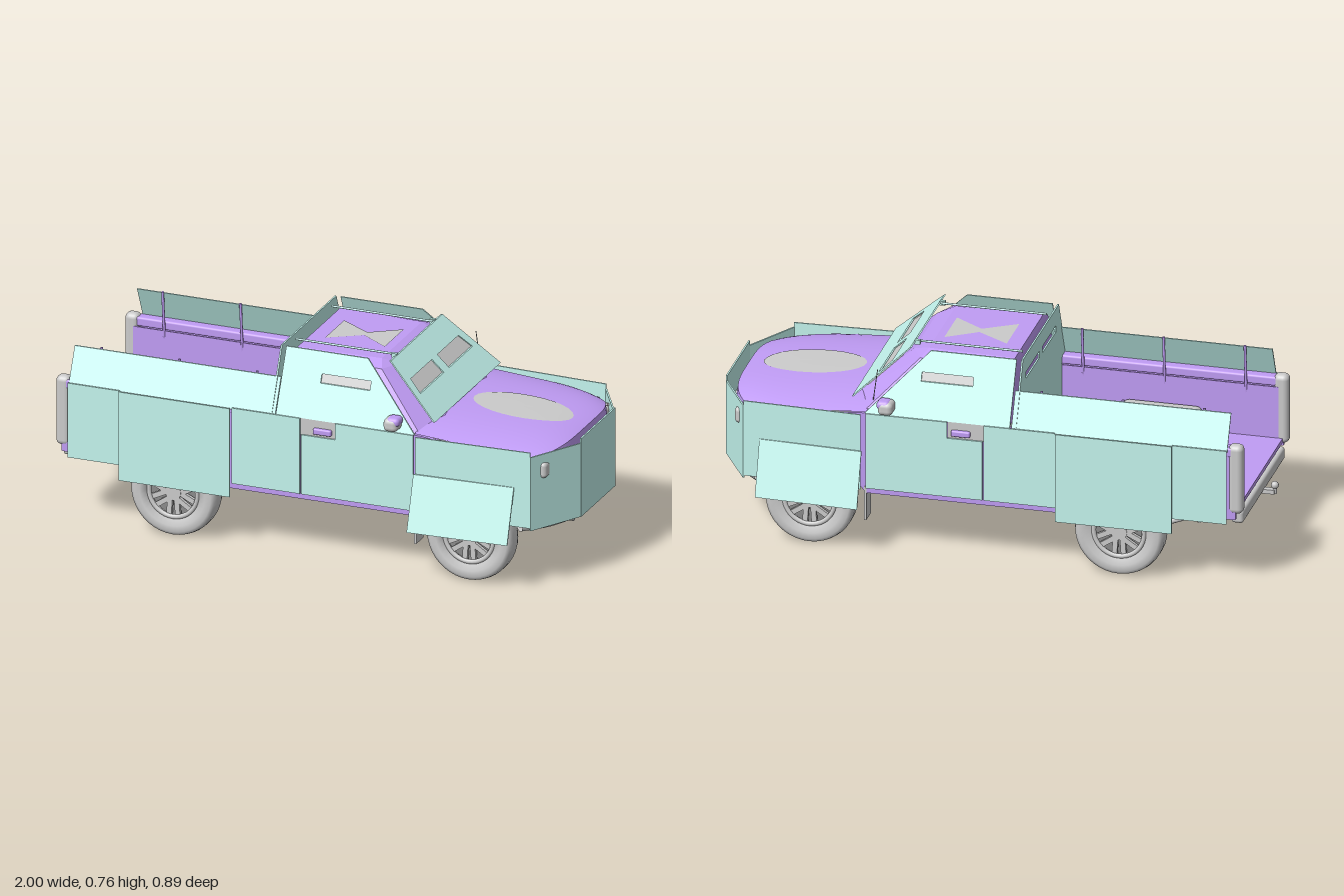
import * as THREE from 'three';
import { RoundedBoxGeometry } from 'three/addons/geometries/RoundedBoxGeometry.js';
import { ConvexGeometry } from 'three/addons/geometries/ConvexGeometry.js';
import { ParametricGeometry } from 'three/addons/geometries/ParametricGeometry.js';

const mat = (color) => new THREE.MeshStandardMaterial({ color, side: THREE.DoubleSide });
const GREY = mat(0xcccccc), TEAL = mat(0xc4f5ee), PURPLE = mat(0xc09cf5), DARK = mat(0x8a8a8a);
const V = (x, y, z) => new THREE.Vector3(x, y, z);
const SIDES = [1, -1];

export function createModel() {
  const root = new THREE.Group();
  const add = (name, geo, material, parent = root) => {
    const m = new THREE.Mesh(geo, material);
    m.name = name;
    parent.add(m);
    return m;
  };
  // box given by its limits on each axis
  const box = (name, [x0, x1], [y0, y1], [z0, z1], material, round = 0) => {
    const s = [Math.abs(x1 - x0), Math.abs(y1 - y0), Math.abs(z1 - z0)];
    const g = round ? new RoundedBoxGeometry(...s, 3, round) : new THREE.BoxGeometry(...s);
    return add(name, g.translate((x0 + x1) / 2, (y0 + y1) / 2, (z0 + z1) / 2), material);
  };
  // round bar between two points
  const bar = (name, a, b, r, material, r2 = r, n = 12) => {
    const m = add(name, new THREE.CylinderGeometry(r2, r, a.distanceTo(b), n), material);
    m.position.copy(a).lerp(b, 0.5);
    m.quaternion.setFromUnitVectors(V(0, 1, 0), b.clone().sub(a).normalize());
  };
  const tube = (name, pts, r, material) =>
    add(name, new THREE.TubeGeometry(new THREE.CatmullRomCurve3(pts), 32, r, 8), material);
  const toShape = (pts) => new THREE.Shape(pts.map(([x, y]) => new THREE.Vector2(x, y)));
  // flat plate drawn in x-y, leaned and yawed by a shear, then turned about y
  const plate = (name, pts, holes, y0, off, lean, { turn = 0, yaw = 0, material = TEAL } = {}) => {
    const shape = toShape(pts);
    shape.holes = holes.map(toShape);
    const g = new THREE.ExtrudeGeometry(shape, { depth: 0.006, bevelEnabled: false });
    const p = g.attributes.position;
    for (let i = 0; i < p.count; i++)
      p.setZ(i, p.getZ(i) - 0.003 + off + lean * (p.getY(i) - y0) + yaw * p.getX(i));
    g.computeVertexNormals();
    return add(name, g.rotateY(turn), material);
  };
  const rect = (x0, x1, y0, y1) => [[x0, y0], [x1, y0], [x1, y1], [x0, y1]];
  // upright plate between two plan points
  const strip = (name, [xa, za], [xb, zb], y0, y1) => {
    const m = add(name, new THREE.BoxGeometry(Math.hypot(xb - xa, zb - za), y1 - y0, 0.006), TEAL);
    m.position.set((xa + xb) / 2, (y0 + y1) / 2, (za + zb) / 2);
    m.rotation.y = -Math.atan2(zb - za, xb - xa);
  };

  // body sides with wheel arches
  const skin = new THREE.Shape();
  const a = Math.asin(0.075 / 0.2);
  skin.moveTo(-0.93, 0.26);
  skin.lineTo(-0.72, 0.24);
  skin.absarc(-0.5, 0.165, 0.2, Math.PI - a, a, true);
  skin.lineTo(-0.28, 0.215);
  skin.lineTo(0.43, 0.215);
  skin.absarc(0.64, 0.165, 0.2, Math.PI - a, a, true);
  [[0.86, 0.25], [0.86, 0.48], [0.45, 0.525], [-0.93, 0.53]].forEach(([x, y]) => skin.lineTo(x, y));
  for (const s of SIDES) {
    add('bodySide', new THREE.ExtrudeGeometry(skin, { depth: 0.012, bevelEnabled: false, curveSegments: 24 })
      .translate(0, 0, s * 0.34 - 0.006), PURPLE);
    box('bedRail', [-0.93, -0.11], [0.5, 0.535], [s * 0.305, s * 0.348], PURPLE, 0.008);
    box('bedInnerWall', [-0.92, -0.11], [0.3, 0.5], [s * 0.3, s * 0.306], PURPLE);
    box('bedWheelBox', [-0.645, -0.35], [0.3, 0.4], [s * 0.225, s * 0.305], GREY, 0.025);
    box('tailLight', [-0.955, -0.9], [0.28, 0.545], [s * 0.3, s * 0.35], GREY, 0.02);
    box('sill', [-0.27, 0.43], [0.215, 0.24], [s * 0.3, s * 0.345], PURPLE);
    box('innerFender', [0.44, 0.86], [0.26, 0.5], [s * 0.225, s * 0.235], GREY);
    box('mudFlap', [0.43, 0.438], [0.11, 0.24], [s * 0.28, s * 0.35], GREY);
    box('handleRecess', [-0.01, 0.13], [0.465, 0.53], [s * 0.335, s * 0.355], GREY);
    box('doorHandle', [0.045, 0.115], [0.477, 0.5], [s * 0.345, s * 0.368], PURPLE, 0.006);
    box('headlight', [0.86, 0.925], [0.42, 0.48], [s * 0.23, s * 0.32], GREY, 0.015);
    // door mirror
    box('mirror', [0.325, 0.38], [0.54, 0.59], [s * 0.33, s * 0.395], GREY, 0.018);
    box('mirrorCap', [0.335, 0.385], [0.56, 0.593], [s * 0.335, s * 0.392], PURPLE, 0.015);
    bar('mirrorArm', V(0.36, 0.545, s * 0.3), V(0.36, 0.55, s * 0.35), 0.01, PURPLE);
  }
  // load bed and cab floor
  box('bedFloor', [-0.935, -0.1], [0.285, 0.302], [-0.305, 0.305], PURPLE);
  box('bedUnderside', [-0.92, -0.1], [0.27, 0.285], [-0.3, 0.3], DARK);
  box('bedFrontWall', [-0.115, -0.1], [0.3, 0.53], [-0.33, 0.33], PURPLE);
  box('cabFloor', [-0.1, 0.45], [0.235, 0.255], [-0.33, 0.33], DARK);
  box('firewall', [0.44, 0.455], [0.24, 0.52], [-0.33, 0.33], GREY);
  box('engine', [0.48, 0.8], [0.24, 0.46], [-0.14, 0.14], DARK, 0.02);

  // cab upper hull, closed just behind its armour
  const cab = [];
  for (const s of SIDES) {
    cab.push(V(-0.09, 0.52, s * 0.335), V(0.45, 0.52, s * 0.335), V(0.51, 0.535, s * 0.2),
      V(-0.085, 0.715, s * 0.245), V(0.26, 0.715, s * 0.24), V(0.3, 0.715, s * 0.16),
      V(-0.08, 0.735, s * 0.2), V(0.24, 0.735, s * 0.19));
    plate('sideWindow', rect(0.03, 0.26, 0.63, 0.7), [], 0.53, s * 0.346, s * -0.444, { material: GREY });
  }
  add('cabShell', new ConvexGeometry(cab), PURPLE);
  plate('windscreen', [[-0.27, 0.6], [0.27, 0.6], [0.225, 0.71], [-0.225, 0.71]], [], 0.57, 0.48, -1.08,
    { turn: Math.PI / 2, material: GREY });
  add('roofPatch', new THREE.ShapeGeometry(toShape([[-0.02, -0.09], [0.1, -0.015], [0.21, -0.09],
    [0.21, 0.09], [0.1, 0.015], [-0.02, 0.09]])).rotateX(-Math.PI / 2).translate(0, 0.737, 0), GREY);

  // bonnet and curved nose
  const bonnet = (u, v, t) => {
    const w = Math.abs(u);
    return t.set(0.43 + v * (0.525 - 0.12 * w ** 4),
      0.565 - 0.028 * v - 0.035 * w ** 3 - 0.02 * v ** 8, u * 0.345);
  };
  add('bonnet', new ParametricGeometry((u, v, t) => bonnet(1 - 2 * u, v, t), 24, 20), PURPLE);
  add('noseSkirt', new ParametricGeometry((u, v, t) => {
    bonnet(1 - 2 * u, 1, t);
    t.y = THREE.MathUtils.lerp(t.y, 0.26, v);
    t.x += 0.012 * Math.sin(v * Math.PI);
  }, 24, 8), PURPLE);
  add('bonnetPatch', new ParametricGeometry((u, v, t) => {
    const r = Math.sqrt(v), q = u * Math.PI * 2;
    bonnet(0.3 * r * Math.sin(q), 0.53 + 0.36 * r * Math.cos(q), t);
    t.y += 0.002;
  }, 28, 8), GREY);
  box('grille', [0.93, 0.968], [0.35, 0.47], [-0.18, 0.18], GREY, 0.012);
  tube('frontBumper', [-1, -0.75, -0.4, 0, 0.4, 0.75, 1].map((u) =>
    V(0.955 - 0.13 * Math.abs(u) ** 3, 0.235, u * 0.325)), 0.028, GREY);
  bar('antenna', V(0.42, 0.53, -0.305), V(0.4, 0.68, -0.305), 0.0015, DARK);

  // armour around the body
  for (const s of SIDES) {
    plate('rearSideArmour', rect(-0.9, -0.7, 0.245, 0.53), [], 0, s * 0.36, 0);
    plate('rearWheelArmour', rect(-0.7, -0.272, 0.19, 0.53), [], 0, s * 0.37, 0);
    plate('bedSideArmour', rect(-0.268, -0.006, 0.24, 0.53), [], 0, s * 0.36, 0);
    plate('doorArmour', [[0, 0.24], [0.43, 0.24], [0.43, 0.53], [0.13, 0.53], [0.13, 0.468], [0, 0.468]],
      [], 0, s * 0.36, 0);
    // flared flap over the front wheel
    plate('frontWheelArmour', rect(0.44, 0.82, 0.19, 0.39), [], 0.39, s * 0.4, s * -0.32, { yaw: s * -0.045 });
    strip('frontSideArmour', [0.445, s * 0.374], [0.88, s * 0.358], 0.24, 0.53);
    strip('noseCornerArmour', [0.88, s * 0.358], [0.994, s * 0.16], 0.23, 0.512);
    plate('bedUpperArmour', rect(-0.9, -0.105, 0.52, 0.65), [], 0.52, s * 0.352, s * -0.45);
    for (const x of [-0.8, -0.5, -0.2])
      bar('bedPost', V(x, 0.36, s * 0.315), V(x, 0.655, s * 0.287), 0.005, PURPLE);
    plate('cabSideArmour', [[-0.1, 0.53], [0.435, 0.53], [0.215, 0.755], [-0.1, 0.755]],
      [rect(0.05, 0.24, 0.652, 0.683)], 0.53, s * 0.355, s * -0.444);
    bar('roofRail', V(-0.1, 0.75, s * 0.17), V(0.29, 0.75, s * 0.17), 0.004, TEAL);
    box('roofHook', [0.275, 0.295], [0.74, 0.757], [s * 0.172, s * 0.185], TEAL);
    bar('noseBrace', V(0.86, 0.47, s * 0.31), V(0.925, 0.49, s * 0.27), 0.005, GREY);
    bar('noseBraceLow', V(0.85, 0.24, s * 0.15), V(0.985, 0.26, s * 0.15), 0.008, GREY);
  }
  strip('noseArmour', [0.994, 0.16], [0.994, -0.16], 0.23, 0.53);
  const slots = SIDES.map((s) => [[s * 0.025, 0.645], [s * 0.245, 0.645], [s * 0.225, 0.688], [s * 0.025, 0.688]]);
  plate('windscreenArmour', [[-0.312, 0.57], [0.312, 0.57], [0.243, 0.752], [-0.243, 0.752]],
    slots, 0.57, 0.49, -1.08, { turn: Math.PI / 2 });
  plate('cabRearArmour', [[-0.298, 0.31], [0.298, 0.31], [0.298, 0.53], [0.353, 0.53], [0.255, 0.755],
    [-0.255, 0.755], [-0.353, 0.53], [-0.298, 0.53]],
  SIDES.map((s) => rect(s * 0.02, s * 0.21, 0.665, 0.69)), 0, -0.12, 0, { turn: Math.PI / 2 });

  // wheels
  const tyre = new THREE.LatheGeometry([[0.098, -0.036], [0.125, -0.047], [0.148, -0.046], [0.16, -0.038],
    [0.165, -0.02], [0.165, 0.02], [0.16, 0.038], [0.148, 0.046], [0.125, 0.047], [0.098, 0.036], [0.098, -0.036]]
    .map(([r, y]) => new THREE.Vector2(r, y)), 40).rotateX(Math.PI / 2);
  for (const x of [-0.5, 0.64]) for (const s of SIDES) {
    const wheel = new THREE.Group();
    wheel.name = x > 0 ? 'frontWheel' : 'rearWheel';
    wheel.position.set(x, 0.165, s * 0.312);
    root.add(wheel);
    add('tyre', tyre, GREY, wheel);
    add('rimRing', new THREE.TorusGeometry(0.093, 0.009, 8, 40).translate(0, 0, s * 0.034), GREY, wheel);
    add('rimBack', new THREE.CylinderGeometry(0.098, 0.098, 0.01, 32).rotateX(Math.PI / 2), DARK, wheel);
    add('hub', new THREE.CylinderGeometry(0.03, 0.03, 0.035, 20).rotateX(Math.PI / 2)
      .translate(0, 0, s * 0.02), GREY, wheel);
    for (let i = 0; i < 6; i++) for (const d of SIDES)
      add('spoke', new THREE.BoxGeometry(0.078, 0.019, 0.014).translate(0.055, d * 0.011, s * 0.028)
        .rotateZ(i * Math.PI / 3 + Math.PI / 6 + d * 0.07), GREY, wheel);
  }

  // ladder frame, axles and suspension
  for (const s of SIDES) {
    box('frameRail', [-0.92, 0.9], [0.205, 0.25], [s * 0.135, s * 0.165], GREY);
    tube('leafSpring', [V(-0.8, 0.23, s * 0.235), V(-0.5, 0.14, s * 0.235), V(-0.22, 0.23, s * 0.235)], 0.011, GREY);
    bar('rearShock', V(-0.52, 0.15, s * 0.18), V(-0.44, 0.28, s * 0.14), 0.012, GREY);
    for (const dx of [-0.07, 0.07])
      bar('lowerArm', V(0.64 + dx, 0.19, s * 0.12), V(0.64, 0.125, s * 0.27), 0.012, GREY);
    bar('upperArm', V(0.64, 0.25, s * 0.15), V(0.64, 0.22, s * 0.27), 0.01, GREY);
    bar('knuckle', V(0.64, 0.11, s * 0.262), V(0.64, 0.24, s * 0.25), 0.018, GREY);
    bar('frontStrut', V(0.65, 0.14, s * 0.22), V(0.64, 0.32, s * 0.17), 0.022, GREY);
    bar('towHook', V(0.88, 0.21, s * 0.14), V(0.96, 0.215, s * 0.14), 0.014, GREY);
  }
  for (const x of [-0.88, -0.66, -0.3, -0.05, 0.2, 0.44, 0.84])
    box('crossMember', [x - 0.018, x + 0.018], [0.21, 0.24], [-0.15, 0.15], GREY);
  bar('rearAxle', V(-0.5, 0.165, -0.29), V(-0.5, 0.165, 0.29), 0.022, GREY);
  add('rearDifferential', new THREE.SphereGeometry(0.055, 20, 14), GREY).position.set(-0.5, 0.165, 0);
  bar('frontAxle', V(0.64, 0.165, -0.29), V(0.64, 0.165, 0.29), 0.012, GREY);
  bar('driveShaft', V(-0.45, 0.17, 0), V(0.22, 0.2, 0), 0.014, GREY);
  bar('gearbox', V(0.18, 0.21, 0), V(0.5, 0.22, 0), 0.035, GREY, 0.06, 20);
  bar('silencer', V(-0.3, 0.225, -0.205), V(-0.06, 0.225, -0.205), 0.036, GREY, 0.036, 20);
  tube('exhaustPipe', [V(0.45, 0.2, -0.09), V(0.2, 0.2, -0.12), V(-0.05, 0.22, -0.2), V(-0.3, 0.225, -0.2),
    V(-0.5, 0.25, -0.18), V(-0.7, 0.23, -0.2), V(-0.78, 0.21, -0.27)], 0.012, GREY);
  box('fuelTank', [-0.22, 0.18], [0.2, 0.25], [0.03, 0.13], GREY, 0.015);
  // V-shaped guard under the front
  add('skidPlate', new THREE.ExtrudeGeometry(toShape([[-0.15, 0.215], [-0.11, 0.15], [-0.02, 0.106],
    [0.02, 0.106], [0.11, 0.15], [0.15, 0.215]]), { depth: 0.05, bevelEnabled: false })
    .rotateY(Math.PI / 2).translate(0.64, 0, 0), GREY);
  bar('frontDifferential', V(0.68, 0.165, 0), V(0.71, 0.165, 0), 0.034, DARK, 0.034, 20);

  // rear bumper and tow hitch
  box('rearBumper', [-0.945, -0.9], [0.225, 0.275], [-0.3, 0.3], GREY, 0.012);
  box('hitchBar', [-0.985, -0.88], [0.222, 0.238], [-0.012, 0.012], GREY);
  bar('hitchPost', V(-0.985, 0.222, 0), V(-0.985, 0.25, 0), 0.007, GREY);
  add('hitchBall', new THREE.SphereGeometry(0.014, 14, 10), GREY).position.set(-0.985, 0.255, 0);
  return root;
}
